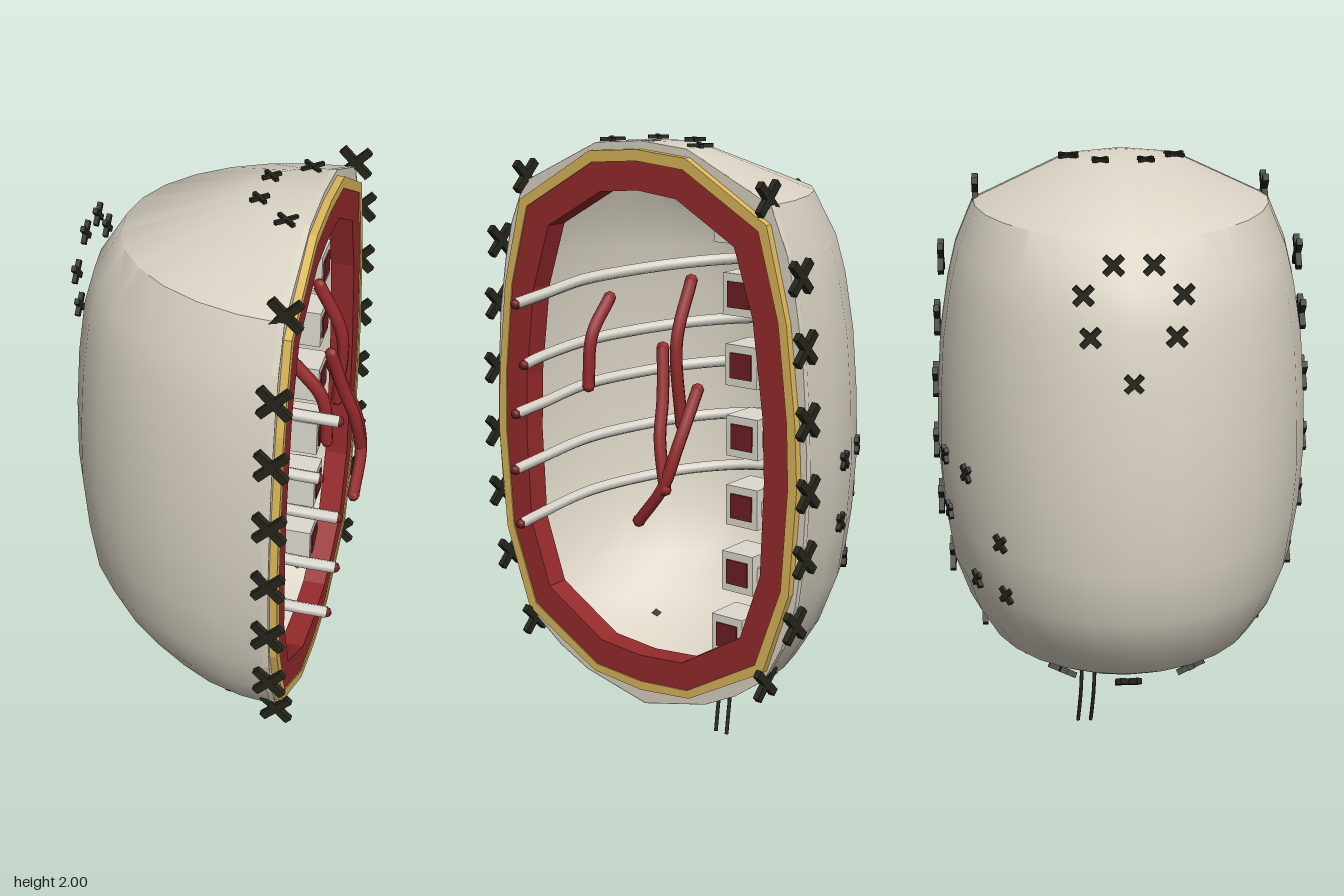
import * as THREE from 'three';
import { toCreasedNormals } from 'three/addons/utils/BufferGeometryUtils.js';

const mat = (name, color, side = THREE.FrontSide) => {
  const m = new THREE.MeshStandardMaterial({ color, side });
  m.name = name;
  return m;
};

// shell levels: height, depth away from the opening, half width
const LEVELS = [
  [0.15, 0.001, 0.001], [0.21, 0.24, 0.25], [0.27, 0.41, 0.37], [0.35, 0.56, 0.48],
  [0.47, 0.67, 0.545], [0.62, 0.75, 0.595], [0.8, 0.775, 0.62], [1.0, 0.79, 0.632],
  [1.2, 0.785, 0.625], [1.4, 0.77, 0.61], [1.58, 0.745, 0.58], [1.7, 0.71, 0.55],
  [1.84, 0.62, 0.49], [1.985, 0.22, 0.18], [2.0, 0.001, 0.001],
];
const CUT = 0.31;

function levelAt(y) {
  const i = Math.max(1, LEVELS.findIndex((l) => l[0] >= y));
  const [a, b] = [LEVELS[i - 1], LEVELS[i]];
  const t = (y - a[0]) / (b[0] - a[0]);
  return [1, 2].map((k) => a[k] + (b[k] - a[k]) * t);
}

// half-elliptical loops joined into a shell that is open towards +x
function shellGeometry() {
  const N = 14, pos = [], idx = [];
  for (const [y, rx, rz] of LEVELS) {
    for (let j = 0; j <= N; j++) {
      const a = (j / N - 0.5) * Math.PI;
      pos.push(CUT - rx * Math.cos(a), y, rz * Math.sin(a));
    }
  }
  for (let i = 0; i < LEVELS.length - 1; i++) {
    for (let j = 0; j < N; j++) {
      const a = i * (N + 1) + j, b = a + N + 1;
      idx.push(a, a + 1, b, a + 1, b + 1, b);
    }
  }
  const g = new THREE.BufferGeometry();
  g.setAttribute('position', new THREE.Float32BufferAttribute(pos, 3));
  g.setIndex(idx);
  return toCreasedNormals(g, 0.68);
}

// flat band around the opening between two half outlines of [z, y]
const outline = (half) => [
  ...half.map(([z, y]) => new THREE.Vector2(z, y)),
  ...half.slice(1, -1).reverse().map(([z, y]) => new THREE.Vector2(-z, y)),
];
function band(outer, inner, x0, x1) {
  const s = new THREE.Shape(outline(outer));
  s.holes.push(new THREE.Path(outline(inner)));
  const g = new THREE.ExtrudeGeometry(s, { depth: x1 - x0, bevelEnabled: false });
  return g.rotateY(Math.PI / 2).translate(x0, 0, 0);
}

export function createModel() {
  const root = new THREE.Group();
  root.name = 'openTorso';
  const skin = mat('skin', 0xdbd4c5, THREE.DoubleSide);
  const bone = mat('bone', 0xdedad0);
  const flesh = mat('flesh', 0x962a2c);
  const marrow = mat('marrow', 0x6e1f22);
  const fat = mat('fat', 0xdcb75a);
  const thread = mat('thread', 0x25251c);

  const add = (geo, material, name, parent = root) => {
    const m = new THREE.Mesh(geo, material);
    m.name = name;
    parent.add(m);
    return m;
  };
  const V = (p) => new THREE.Vector3(...p);
  const tube = (pts, r, material, name, sides = 6, parent = root) =>
    add(new THREE.TubeGeometry(new THREE.CatmullRomCurve3(pts.map(V)), pts.length * 5, r, sides), material, name, parent);

  // shell and layered rim of the opening
  add(shellGeometry(), skin, 'shell');
  const edge = LEVELS.map(([y, , rz], i) => [i === 0 || i === LEVELS.length - 1 ? 0 : rz, y]);
  const fatOut = [[0, 0.205], [0.2, 0.225], [0.49, 0.385], [0.585, 0.66], [0.61, 1], [0.6, 1.2],
    [0.565, 1.5], [0.49, 1.785], [0.19, 1.96], [0, 1.975]];
  const fleshOut = [[0, 0.235], [0.19, 0.25], [0.46, 0.405], [0.555, 0.67], [0.577, 1], [0.57, 1.2],
    [0.535, 1.5], [0.46, 1.765], [0.18, 1.925], [0, 1.94]];
  const fleshIn = [[0, 0.325], [0.17, 0.34], [0.4, 0.48], [0.475, 0.7], [0.487, 1], [0.48, 1.2],
    [0.44, 1.5], [0.37, 1.71], [0.15, 1.835], [0, 1.85]];
  add(band(edge, fleshOut, 0.29, 0.308), skin, 'skinRim');
  add(band(fatOut, fleshOut, 0.3, 0.332), fat, 'fatRim');
  add(band(fleshOut, fleshIn, 0.25, 0.328), flesh, 'fleshRim');

  // ribs sweep around the inner wall and stick out of the opening
  const ribs = [[1.47, 0.46, 0.4], [1.26, 0.41, 0.415], [1.11, 0.47, 0.4], [0.92, 0.47, 0.41], [0.73, 0.45, 0.41]];
  for (const [y, x, z] of ribs) {
    const pts = [[x, y, z], [0.32, y + 0.01, z + 0.01]];
    for (let k = 0; k <= 8; k++) {
      const a = (75 - k * 18) * Math.PI / 180;
      pts.push([0.28 - 0.68 * Math.cos(a), y + 0.03 + k * 0.012, 0.43 * Math.sin(a)]);
    }
    tube(pts, 0.02, bone, 'rib');
    add(new THREE.SphereGeometry(0.017, 8, 6), marrow, 'ribTip').position.set(x, y, z);
  }

  // spine
  const spine = [[1.77, -0.3], [1.55, -0.335], [1.33, -0.345], [1.105, -0.35], [0.88, -0.35], [0.66, -0.335], [0.44, -0.295]];
  for (const [y, z] of spine) {
    const v = new THREE.Group();
    v.name = 'vertebra';
    v.position.set(0.19, y, z);
    root.add(v);
    add(new THREE.BoxGeometry(0.13, 0.13, 0.12), bone, 'vertebraBody', v);
    add(new THREE.BoxGeometry(0.08, 0.05, 0.06), bone, 'vertebraSpur', v).position.z = -0.085;
    add(new THREE.BoxGeometry(0.008, 0.08, 0.08), marrow, 'vertebraCore', v).position.x = 0.066;
  }

  // torn vessels
  [
    [[0.27, 1.49, 0.165], [0.36, 1.38, 0.165], [0.38, 1.22, 0.165]],
    [[0.27, 1.58, -0.165], [0.35, 1.4, -0.17], [0.34, 1.14, -0.18]],
    [[0.33, 1.37, -0.1], [0.37, 1.22, -0.13], [0.41, 1.1, -0.15], [0.43, 0.95, -0.185]],
    [[0.31, 1.25, -0.22], [0.4, 1.08, -0.21], [0.43, 0.96, -0.18], [0.43, 0.83, -0.08]],
  ].forEach((p) => {
    tube(p, 0.021, flesh, 'vessel');
    for (const end of [p[0], p[p.length - 1]]) {
      add(new THREE.SphereGeometry(0.021, 6, 4), flesh, 'vesselEnd').position.set(...end);
    }
  });

  // crossed stitches facing along a normal
  const stitch = (p, normal, len, width, depth) => {
    const g = new THREE.Group();
    g.name = 'stitch';
    for (const s of [-1, 1]) {
      add(new THREE.BoxGeometry(len, width, depth), thread, 'stitchBar', g).rotation.z = s * Math.PI / 4;
    }
    g.position.set(...p);
    g.lookAt(V(p).add(V(normal)));
    root.add(g);
  };

  // rim stitches
  const rim = [[1.86, 0.48], [1.64, 0.6], [1.43, 0.62], [1.21, 0.632], [0.99, 0.637], [0.78, 0.628], [0.56, 0.595], [0.345, 0.487]];
  for (const [y, z] of rim) for (const s of [-1, 1]) stitch([CUT, y, s * z], [0, 0, s], 0.125, 0.026, 0.02);

  // square of stitches on the back wall
  for (const [deg, y] of [[71, 1.03], [56, 1.03], [71, 0.83], [42, 0.84], [56, 0.65], [42, 0.65]]) {
    const [rx, rz] = levelAt(y), a = deg * Math.PI / 180;
    stitch([CUT - rx * Math.cos(a), y, -rz * Math.sin(a)], [-Math.cos(a) / rx, 0, -Math.sin(a) / rz], 0.065, 0.018, 0.02);
  }

  // group of stitches on the outer side
  for (const s of [-1, 1]) {
    for (const [z, y, x] of [[0.06, 1.79, -0.425], [0.15, 1.7, -0.428], [0.13, 1.57, -0.432]]) {
      stitch([x, y, s * z], [-1, 0, 0], 0.075, 0.018, 0.015);
    }
    // top and underside stitches
    stitch([0.13, 1.995, s * 0.073], [0, 1, 0], 0.065, 0.012, 0.012);
    stitch([0.235, 1.99, s * 0.173], [0, 1, 0], 0.08, 0.012, 0.012);
    stitch([0.16, 0.28, s * 0.365], [0, -0.8, s * 0.6], 0.11, 0.024, 0.02);
    stitch([-0.07, 0.28, s * 0.22], [-0.4, -0.8, s * 0.4], 0.1, 0.024, 0.02);
  }
  stitch([-0.44, 1.43, 0], [-1, 0, 0], 0.07, 0.018, 0.04);
  stitch([-0.17, 0.28, 0], [-0.5, -0.85, 0], 0.1, 0.024, 0.02);

  // loose threads hanging below
  for (const z of [-0.11, -0.155]) {
    tube([[0.06, 0.22, z + 0.005], [0.05, 0.13, z], [0.065, 0.06, z - 0.005], [0.08, 0.002, z - 0.01]], 0.007, thread, 'looseThread', 5);
  }
  return root;
}
